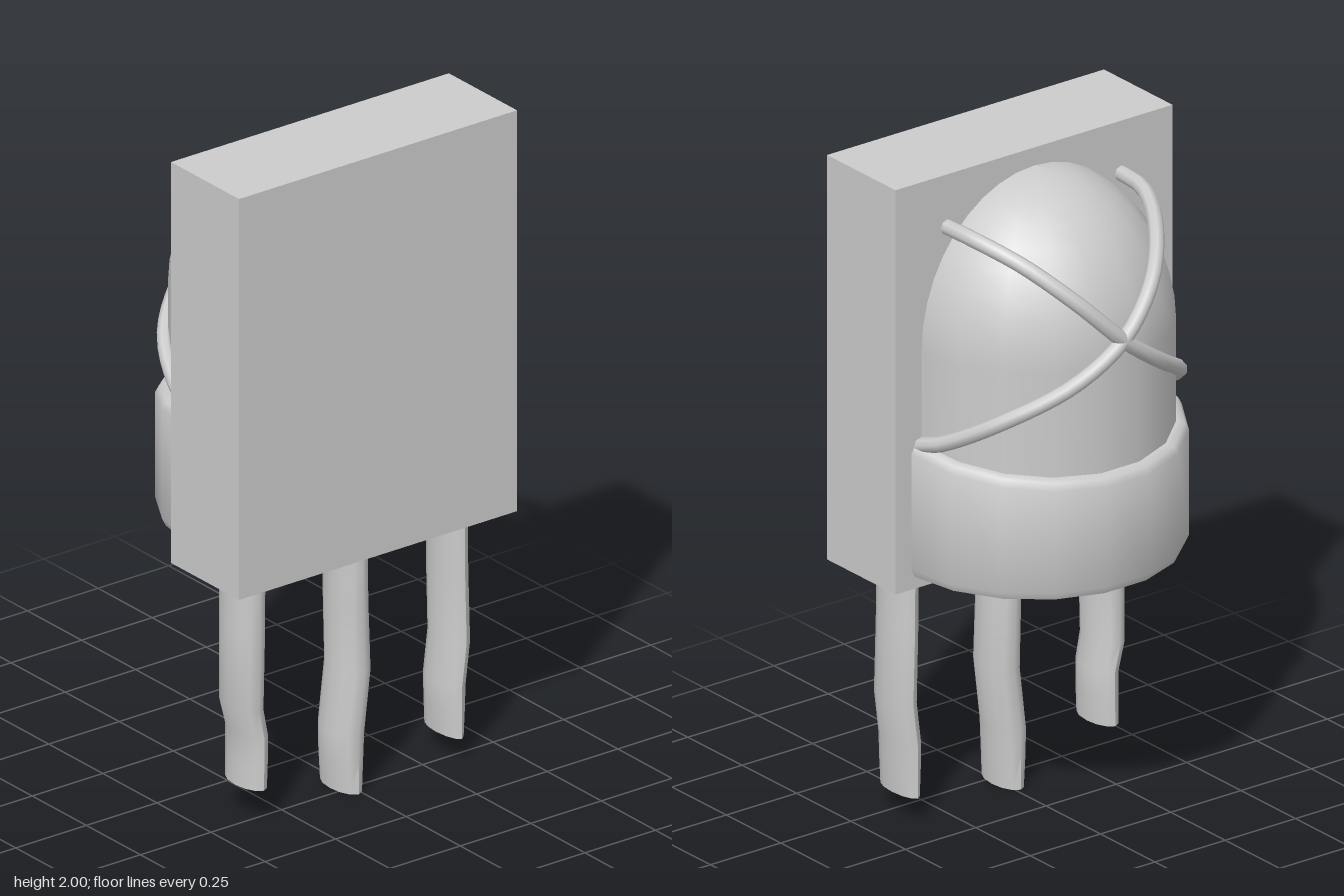
import * as THREE from 'three';
import { toCreasedNormals } from 'three/addons/utils/BufferGeometryUtils.js';

const WALL = 0.055; // z of the backplate's rear face
const material = new THREE.MeshStandardMaterial({ color: 0xcccccc, side: THREE.DoubleSide });

function addPart(group, name, geometry) {
  const mesh = new THREE.Mesh(geometry, material);
  mesh.name = name;
  group.add(mesh);
  return mesh;
}

// Half-round lathe bulging toward -z
function halfLathe(profile) {
  const points = profile.map(([r, y]) => new THREE.Vector2(r, y));
  return new THREE.LatheGeometry(points, 9, Math.PI / 2, Math.PI).translate(0, 0, WALL);
}

// Slightly bent oval leg; each section is [y, left x, right x], top to bottom
function legGeometry(sections) {
  const sides = 12;
  const geo = new THREE.CylinderGeometry(1, 1, 1, sides, sections.length - 1);
  const pos = geo.attributes.position;
  for (let i = 0; i < pos.count; i++) {
    const row = Math.round((0.5 - pos.getY(i)) * (sections.length - 1));
    const [y, x0, x1] = sections[row];
    pos.setXYZ(i, (x0 + x1) / 2 + pos.getX(i) * (x1 - x0) / 2, y, 0.217 + pos.getZ(i) * 0.083);
  }
  return toCreasedNormals(geo, 0.9);
}

export function createModel() {
  const model = new THREE.Group();

  // Flat slab
  addPart(model, 'backplate', new THREE.BoxGeometry(0.985, 1.24, 0.315).translate(0, 1.38, 0.2125));

  // Half-round body with a domed top
  const bodyProfile = [[0.4, 0.85], [0.4, 1.48]];
  for (let i = 1; i <= 10; i++) {
    const a = (i / 10) * Math.PI / 2;
    bodyProfile.push([0.4 * Math.cos(a), 1.48 + 0.465 * Math.sin(a)]);
  }
  addPart(model, 'domedBody', halfLathe(bodyProfile));

  // Collar with rounded rims, its top sloping down away from the slab
  const collar = halfLathe([
    [0, 0.8], [0.39, 0.79], [0.425, 0.797], [0.436, 0.82],
    [0.436, 1.125], [0.425, 1.145], [0.405, 1.15], [0.37, 1.15],
  ]);
  const pos = collar.attributes.position;
  for (let i = 0; i < pos.count; i++) {
    if (pos.getY(i) > 1) pos.setY(i, pos.getY(i) + 0.05 * (pos.getZ(i) + 0.375) / 0.43);
  }
  addPart(model, 'collar', toCreasedNormals(collar, 0.9));

  // Two mirrored cords crossing over the body
  const cordPath = [
    [0.31, 1.84, 0.055], [0.3, 1.835, -0.06], [0.235, 1.785, -0.2], [0.13, 1.68, -0.315],
    [0, 1.55, -0.355], [-0.15, 1.44, -0.325], [-0.32, 1.325, -0.2], [-0.395, 1.225, -0.03],
    [-0.405, 1.195, 0.055],
  ];
  for (const side of [1, -1]) {
    const curve = new THREE.CatmullRomCurve3(
      cordPath.map(([x, y, z]) => new THREE.Vector3(side * x, y, z)));
    addPart(model, side > 0 ? 'leftCord' : 'rightCord', new THREE.TubeGeometry(curve, 32, 0.023, 8));
  }

  // Three uneven legs
  const legs = {
    rightLeg: [[0.78, -0.418, -0.31], [0.58, -0.417, -0.312], [0.35, -0.415, -0.32],
      [0.27, -0.392, -0.307], [0.18, -0.39, -0.308], [0.105, -0.39, -0.312]],
    middleLeg: [[0.78, -0.05, 0.05], [0.58, -0.05, 0.054], [0.37, -0.046, 0.063],
      [0.18, -0.068, 0.04], [0.1, -0.064, 0.034], [0, -0.053, 0.025]],
    leftLeg: [[0.78, 0.322, 0.4], [0.58, 0.322, 0.402], [0.36, 0.327, 0.409],
      [0.23, 0.311, 0.393], [0.15, 0.315, 0.388], [0.07, 0.322, 0.38]],
  };
  for (const [name, sections] of Object.entries(legs)) addPart(model, name, legGeometry(sections));

  return model;
}
